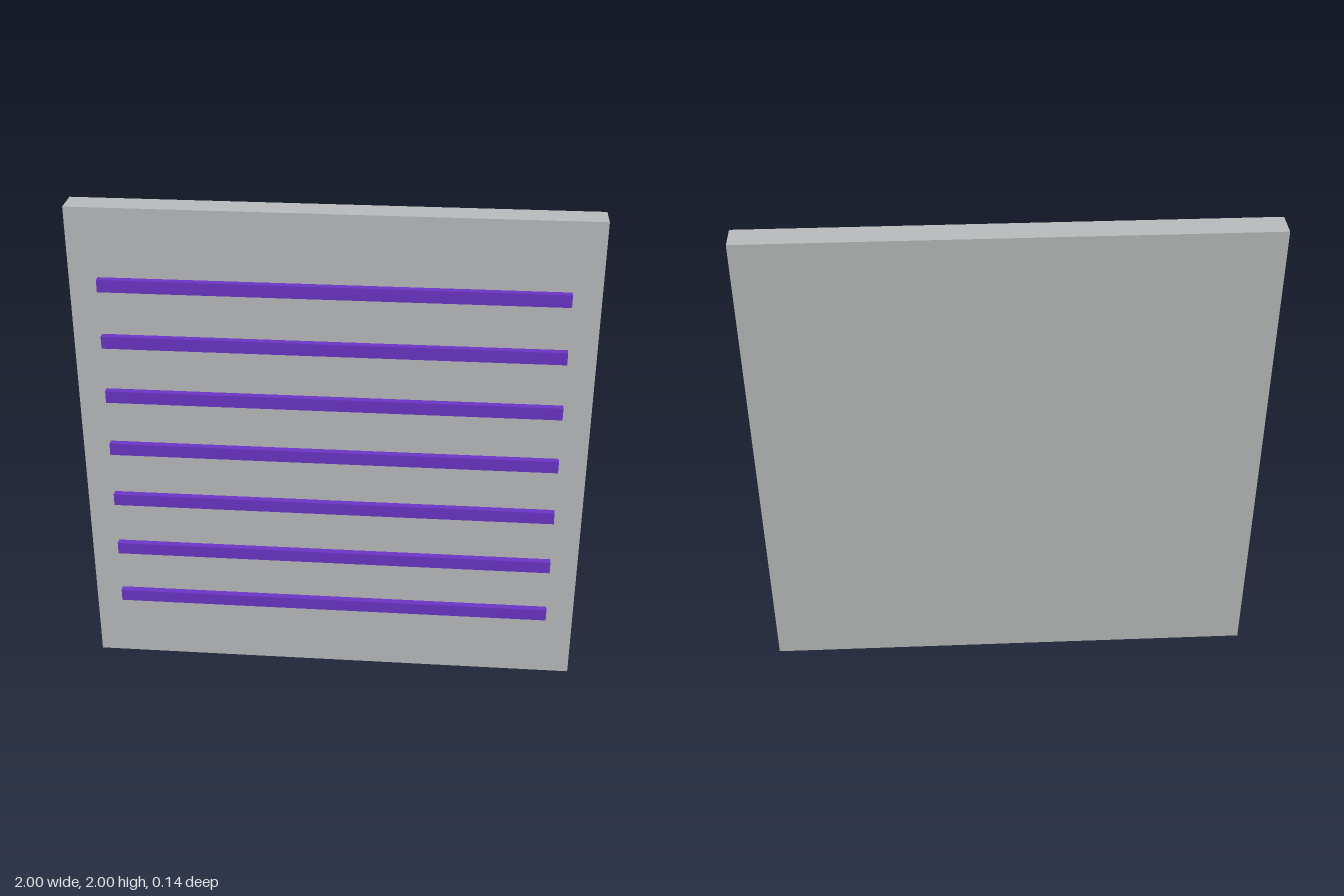
import * as THREE from 'three';

export function createModel() {
  const group = new THREE.Group();
  const panelGray = new THREE.MeshStandardMaterial({ color: 0xbbbdbe });
  panelGray.name = 'panelGray';
  const slatPurple = new THREE.MeshStandardMaterial({ color: 0x6d35c8 });
  slatPurple.name = 'slatPurple';

  function addBox(name, material, w, h, d, y, z) {
    const mesh = new THREE.Mesh(new THREE.BoxGeometry(w, h, d), material);
    mesh.name = name;
    mesh.position.set(0, y, z);
    group.add(mesh);
  }

  // Square back panel
  addBox('panel', panelGray, 2, 2, 0.1111, 1, -0.0139);

  // Seven evenly spaced slats standing on the front face
  const count = 7, spacing = 0.2333;
  for (let i = 0; i < count; i++) {
    const y = 1 + (i - (count - 1) / 2) * spacing;
    addBox(`slat${i + 1}`, slatPurple, 1.778, 0.05, 0.0278, y, 0.0556);
  }

  return group;
}
